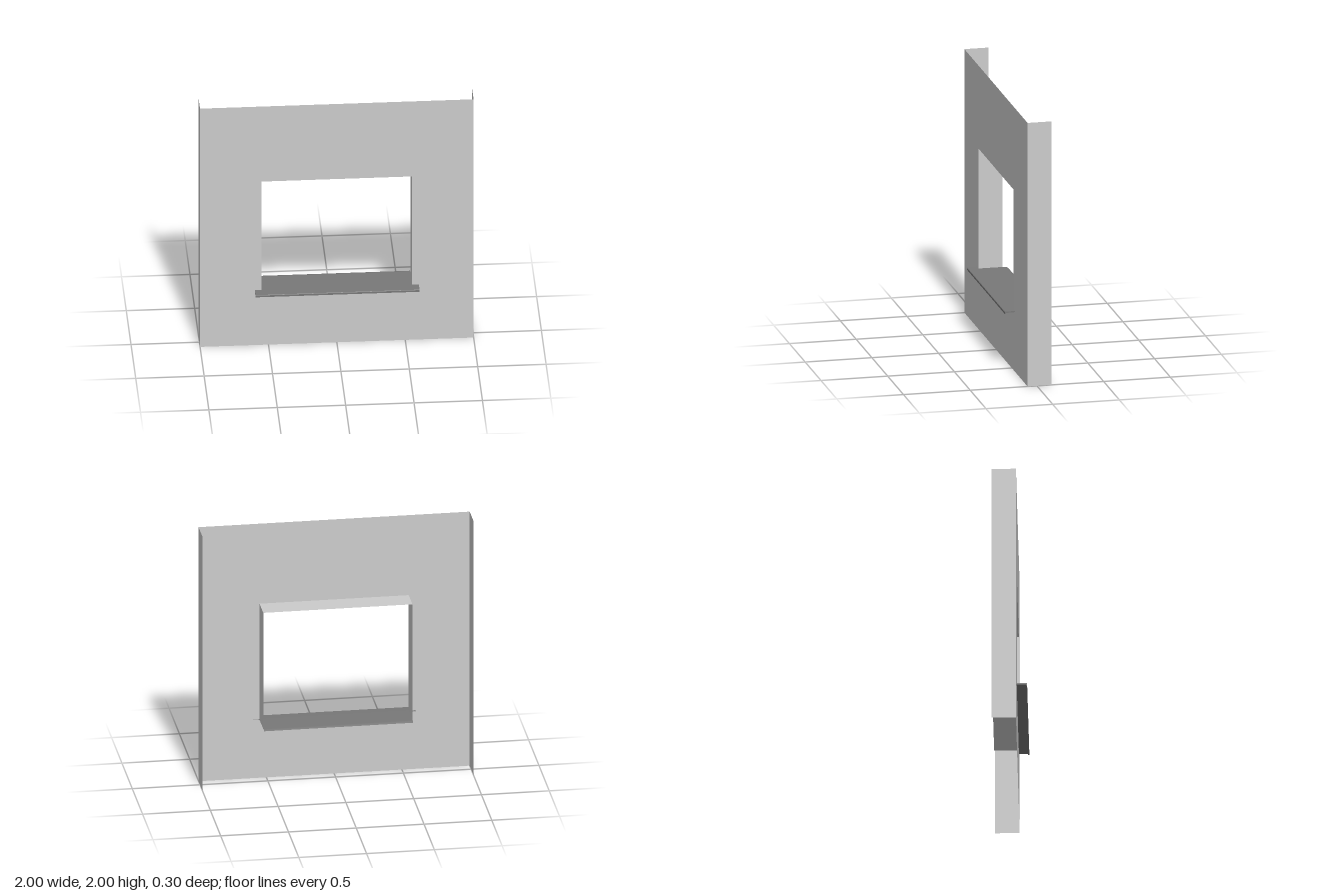
import * as THREE from 'three';

const FRONT = 0.07, BACK = -0.11;                       // sheet depth
const W = 0.55, BOTTOM = 0.455, TOP = 1.37;             // window opening
const DEPTH = FRONT - BACK, MID = (FRONT + BACK) / 2;

export function createModel() {
  const group = new THREE.Group();
  const sheet = new THREE.MeshStandardMaterial({ color: 0xcccccc, side: THREE.DoubleSide });
  const dark = new THREE.MeshStandardMaterial({ color: 0x787878 });

  const add = (name, geometry, material) => {
    const mesh = new THREE.Mesh(geometry, material);
    mesh.name = name;
    group.add(mesh);
    return mesh;
  };

  // Front wall sheet with a window opening
  const wall = new THREE.Shape([[-1, 0], [1, 0], [1, 2], [-1, 2]].map(p => new THREE.Vector2(...p)));
  wall.holes.push(new THREE.Path(
    [[-W, BOTTOM], [-W, TOP], [W, TOP], [W, BOTTOM]].map(p => new THREE.Vector2(...p))));
  add('wallPanel', new THREE.ShapeGeometry(wall), sheet).position.z = FRONT;

  // Folded-back side flanges and window jambs
  for (const [label, s] of [['left', 1], ['right', -1]]) {
    add(label + 'Flange', new THREE.PlaneGeometry(DEPTH, 2).rotateY(s * Math.PI / 2), sheet)
      .position.set(s, 1, MID);
    add(label + 'Jamb', new THREE.PlaneGeometry(DEPTH, TOP - BOTTOM).rotateY(s * Math.PI / 2), sheet)
      .position.set(s * W, (TOP + BOTTOM) / 2, MID);
  }

  // Reveal sheets above and below the opening
  for (const [name, y] of [['lintel', TOP], ['lowerReveal', BOTTOM]]) {
    add(name, new THREE.PlaneGeometry(2 * W, DEPTH).rotateX(-Math.PI / 2), sheet)
      .position.set(0, y, MID);
  }

  // Outer sill: thin ledge with a turned-down drip lip, profile in (z, y)
  const profile = [[0.07, 0.452], [0.137, 0.45], [0.137, 0.443], [0.146, 0.443],
    [0.146, 0.457], [0.143, 0.46], [0.07, 0.461]].map(p => new THREE.Vector2(...p));
  const ledge = new THREE.ExtrudeGeometry(new THREE.Shape(profile), { depth: 1.2, bevelEnabled: false });
  ledge.rotateY(-Math.PI / 2).translate(0.6, 0, 0);
  add('outerSill', ledge, dark);

  // Inner sill: single sheet running through the opening, dipping at its back edge
  const inner = new THREE.PlaneGeometry(2 * W, FRONT + 0.15, 1, 22)
    .rotateX(-Math.PI / 2).translate(0, 0.461, (FRONT - 0.15) / 2);
  const pos = inner.attributes.position;
  for (let i = 0; i < pos.count; i++) {
    if (pos.getZ(i) < -0.135) pos.setY(i, 0.461 - (-0.135 - pos.getZ(i)) * 0.5);
  }
  inner.computeVertexNormals();
  add('innerSill', inner, dark);

  return group;
}
